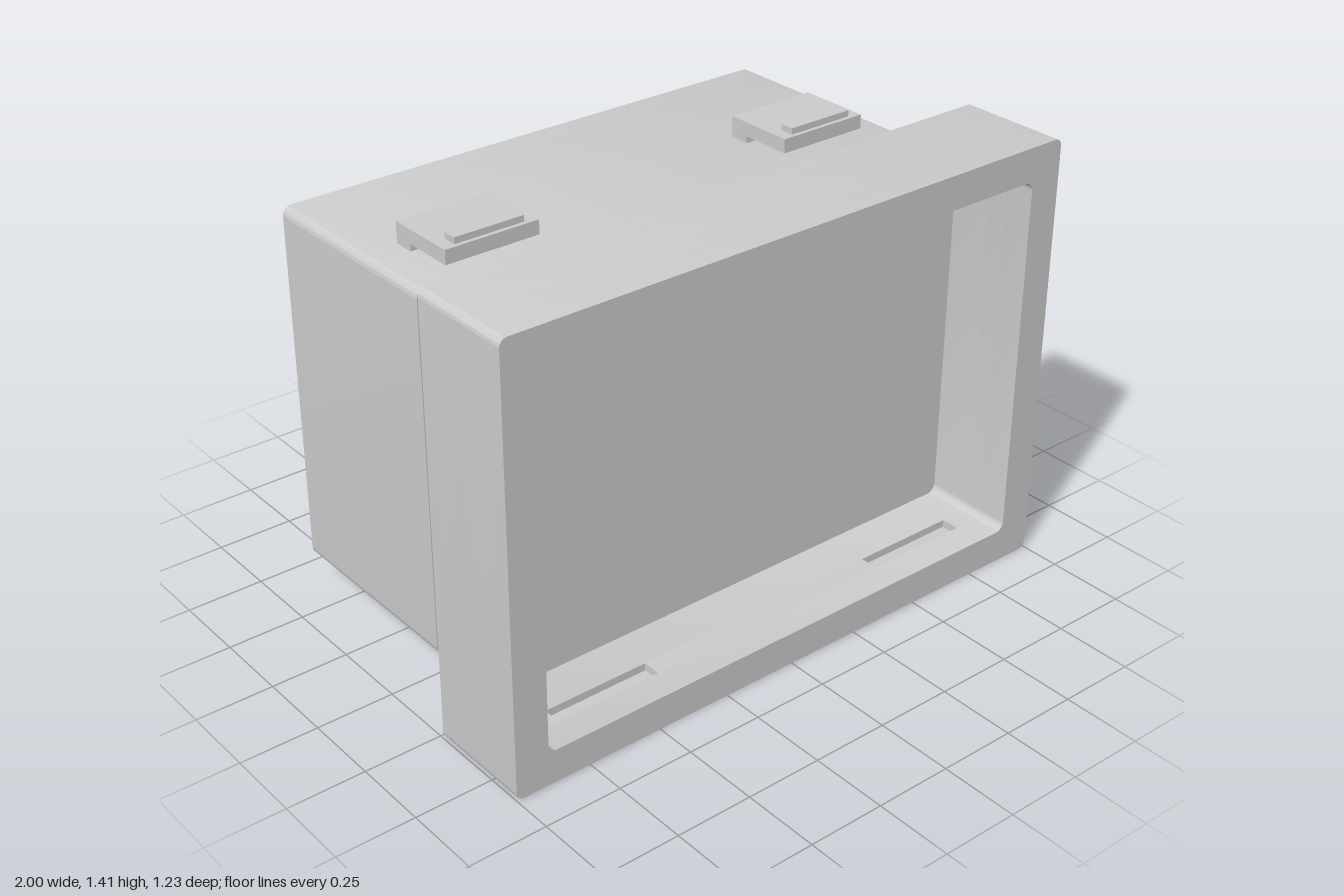
import * as THREE from 'three';
import { toCreasedNormals } from 'three/addons/utils/BufferGeometryUtils.js';

const MID_Y = 0.705;
const material = new THREE.MeshStandardMaterial({ color: 0xcccccc });

// Traces a rounded rectangle centred on the origin; notch = {inner, outer, depth}
// adds two steps in both the bottom and the top edge.
function roundedRect(path, halfW, halfH, r, notch) {
  const edge = (s) => {
    // s = 1: bottom edge, left to right; s = -1: top edge, right to left
    if (notch) {
      for (const [a, b] of [[-notch.outer, -notch.inner], [notch.inner, notch.outer]]) {
        path.lineTo(s * a, -s * halfH);
        path.lineTo(s * a, -s * (halfH + notch.depth));
        path.lineTo(s * b, -s * (halfH + notch.depth));
        path.lineTo(s * b, -s * halfH);
      }
    }
    path.lineTo(s * (halfW - r), -s * halfH);
    path.absarc(s * (halfW - r), -s * (halfH - r), r, s > 0 ? -Math.PI / 2 : Math.PI / 2, s > 0 ? 0 : Math.PI);
    path.lineTo(s * halfW, s * (halfH - r));
    path.absarc(s * (halfW - r), s * (halfH - r), r, s > 0 ? 0 : Math.PI, s > 0 ? Math.PI / 2 : Math.PI * 1.5);
  };
  path.moveTo(-(halfW - r), -halfH);
  edge(1);
  edge(-1);
  return path;
}

// Extrudes an outline, optionally with an opening, from z0 to z1
function slab(name, outer, opening, z0, z1) {
  const shape = roundedRect(new THREE.Shape(), ...outer);
  if (opening) shape.holes.push(roundedRect(new THREE.Path(), ...opening));
  const geo = new THREE.ExtrudeGeometry(shape, { depth: z1 - z0, bevelEnabled: false, curveSegments: 8 });
  const mesh = new THREE.Mesh(toCreasedNormals(geo, 0.6), material);
  mesh.name = name;
  mesh.position.set(0, MID_Y, z0);
  return mesh;
}

// Hooked clip: stem and arm in one side profile, with a raised catch ridge
function createClip(x, side) {
  const clip = new THREE.Group();
  clip.name = 'clip';
  const profile = new THREE.Shape([
    [0.207, 0.58], [0.207, 0.655], [-0.03, 0.655], [-0.03, 0.61], [0.14, 0.61], [0.14, 0.58],
  ].map(([z, y]) => new THREE.Vector2(z, y)));
  const arm = new THREE.Mesh(
    new THREE.ExtrudeGeometry(profile, { depth: 0.31, bevelEnabled: false }).translate(0, 0, -0.155).rotateY(Math.PI / 2),
    material);
  arm.name = 'clipArm';
  const ridge = new THREE.Mesh(new THREE.BoxGeometry(0.23, 0.03, 0.045), material);
  ridge.name = 'clipRidge';
  ridge.position.set(0, 0.66, -0.006);
  clip.add(arm, ridge);
  clip.position.set(x, MID_Y, 0);
  clip.scale.y = side;
  return clip;
}

export function createModel() {
  const model = new THREE.Group();
  model.name = 'snapFitBox';

  // Lid: closed back, open front, catch slots in the inner top and bottom walls
  const lid = new THREE.Group();
  lid.name = 'lid';
  const lidOuter = [1, 0.705, 0.025];
  const lidInner = [0.89, 0.597, 0.03];
  const slots = { inner: 0.43, outer: 0.785, depth: 0.025 };
  lid.add(
    slab('lidPanel', lidOuter, null, 0.265, 0.315),
    slab('lidWallBack', lidOuter, lidInner, 0.315, 0.46),
    slab('lidWallSlotted', lidOuter, [...lidInner, slots], 0.46, 0.52),
    slab('lidWallFront', lidOuter, lidInner, 0.52, 0.617));
  model.add(lid);

  // Box body: closed back, hollow towards the lid
  const body = new THREE.Group();
  body.name = 'body';
  const bodyOuter = [0.88, 0.588, 0.03];
  body.add(
    slab('bodyBack', bodyOuter, null, -0.617, -0.56),
    slab('bodyWalls', bodyOuter, [0.825, 0.533, 0.02], -0.56, 0.068));
  for (const x of [-0.605, 0.605]) {
    for (const side of [1, -1]) body.add(createClip(x, side));
  }
  model.add(body);
  return model;
}
